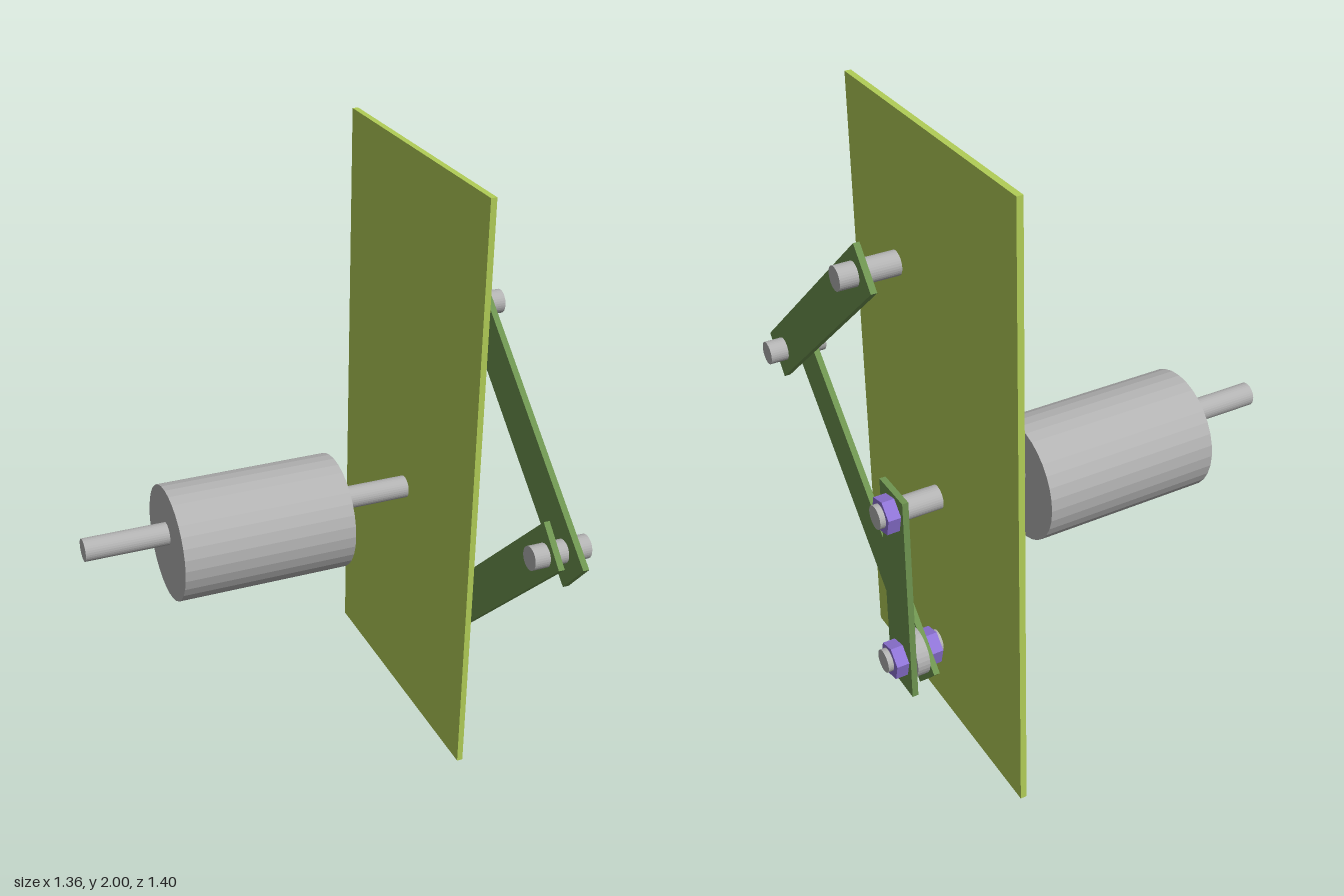
import * as THREE from 'three';

export function createModel() {
  const root = new THREE.Group();
  root.name = 'linkageMechanism';
  const material = (name, color, flatShading = false) => {
    const m = new THREE.MeshStandardMaterial({ color, flatShading });
    m.name = name;
    return m;
  };
  const lime = material('limePlate', 0xb2ce57);
  const green = material('greenLink', 0x6e9450);
  const grey = material('greySteel', 0xb3b3b3, true);
  const purple = material('purpleNut', 0x8f74d6, true);

  const add = (name, geometry, mat, x, y, z) => {
    const mesh = new THREE.Mesh(geometry, mat);
    mesh.name = name;
    mesh.position.set(x, y, z);
    root.add(mesh);
    return mesh;
  };

  // Cylinder lying along x, from x0 to x1
  const rod = (name, r, x0, x1, y, z, mat = grey, sides = 32) => {
    const g = new THREE.CylinderGeometry(r, r, x1 - x0, sides);
    g.rotateZ(-Math.PI / 2);
    return add(name, g, mat, (x0 + x1) / 2, y, z);
  };

  // Hexagonal nut, turned slightly about its axis
  const nut = (name, x0, x1, y, z) => {
    rod(name, 0.06, x0, x1, y, z, purple, 6).rotation.x = Math.PI / 12;
  };

  // Flat bar in the yz plane, running along direction (dy, dz)
  const link = (name, x, y, z, length, dy, dz) => {
    const bar = add(name, new THREE.BoxGeometry(0.02, length, 0.153), green, x, y, z);
    bar.rotation.x = Math.atan2(dz, dy);
  };

  // Mounting plate
  add('mountingPlate', new THREE.BoxGeometry(0.02, 2, 0.98), lime, 0.458, 1, -0.212);

  // Motor and its through shaft, set above the body's axis
  rod('motorBody', 0.195, -0.4, 0.187, 0.785, -0.215);
  rod('motorShaft', 0.038, -0.68, 0.676, 0.822, -0.213);

  // Linkage bars
  link('upperLink', 0.607, 1.249, 0.275, 0.996, 0.655, -0.75);
  link('lowerLink', 0.545, 0.603, 0.176, 1.22, 0.697, 0.717);
  link('crank', 0.607, 0.518, -0.205, 0.745, 1, 0);

  // Pivot pins
  const pins = { upperPin: [1.535, -0.04], elbowPin: [0.98, 0.58], crankPin: [0.263, -0.207] };
  for (const [name, [y, z]] of Object.entries(pins)) rod(name, 0.038, 0.484, 0.676, y, z);

  // Spacer and nuts
  rod('crankSpacer', 0.078, 0.555, 0.597, 0.263, -0.213);
  nut('shaftNut', 0.617, 0.658, 0.82, -0.212);
  nut('crankOuterNut', 0.617, 0.658, 0.26, -0.212);
  nut('crankInnerNut', 0.498, 0.535, 0.26, -0.212);

  return root;
}
